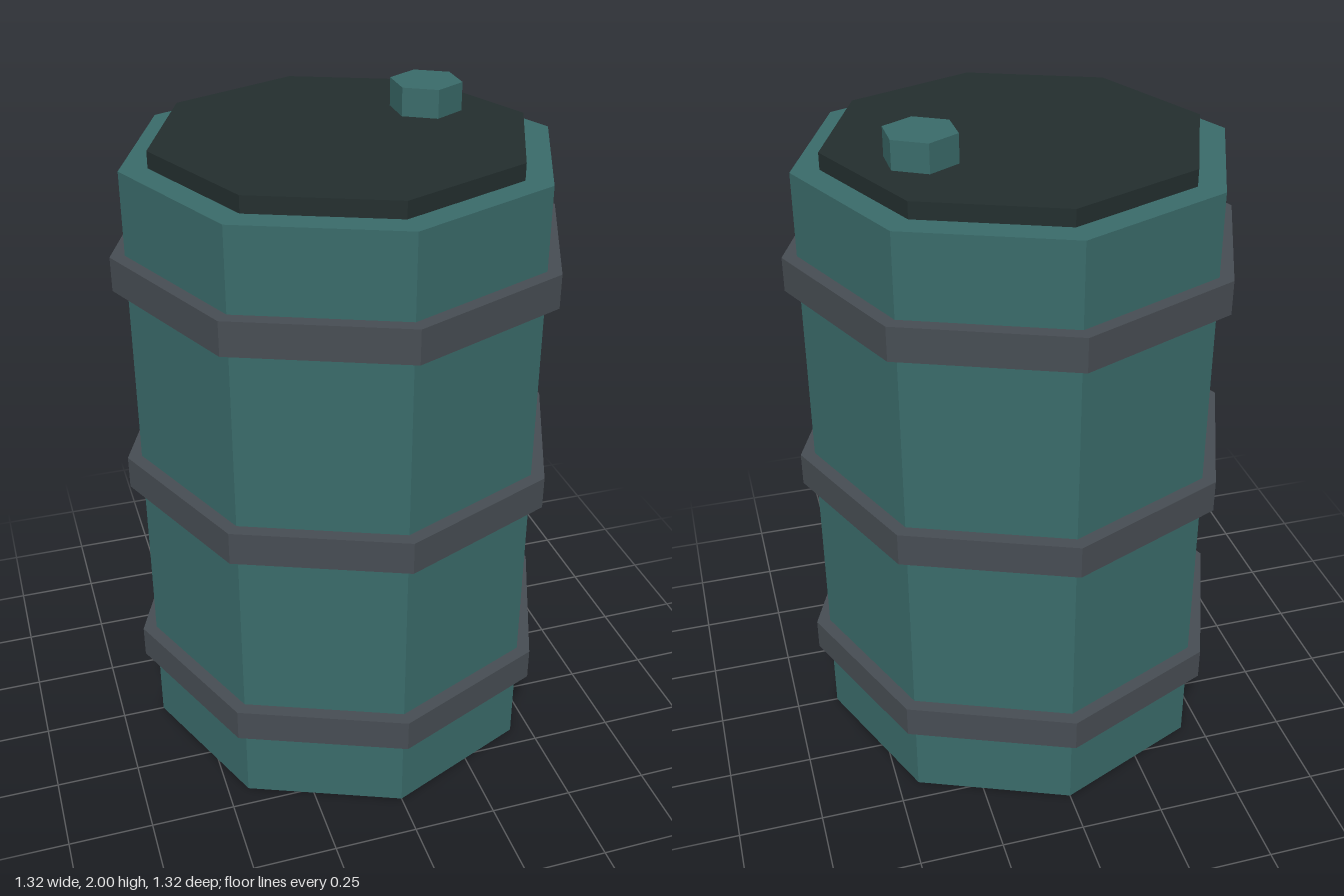
import * as THREE from 'three';

export function createModel() {
  const model = new THREE.Group();
  model.name = 'barrel';

  const paint = (name, color) => {
    const m = new THREE.MeshStandardMaterial({ color, flatShading: true });
    m.name = name;
    return m;
  };
  const teal = paint('tealPaint', 0x3a6b6a);
  const steel = paint('greySteel', 0x474d53);
  const dark = paint('darkLid', 0x232e2e);

  // Upright prism between two heights, with one corner facing the front
  const prism = (name, material, radius, sides, bottom, top, x = 0, z = 0) => {
    const geometry = new THREE.CylinderGeometry(radius, radius, top - bottom, sides);
    const mesh = new THREE.Mesh(geometry, material);
    mesh.name = name;
    mesh.position.set(x, (bottom + top) / 2, z);
    model.add(mesh);
  };

  // Octagonal drum
  prism('body', teal, 0.62, 8, 0, 1.87);

  // Three raised hoops
  ['lowerHoop', 'middleHoop', 'upperHoop'].forEach((name, i) => {
    const y = 0.293 + i * 0.643;
    prism(name, steel, 0.662, 8, y - 0.05, y + 0.05);
  });

  // Lid with an off-centre hexagonal filler cap
  prism('lid', dark, 0.54, 8, 1.86, 1.918);
  prism('fillerCap', teal, 0.104, 6, 1.91, 2, 0.29, -0.125);

  return model;
}
